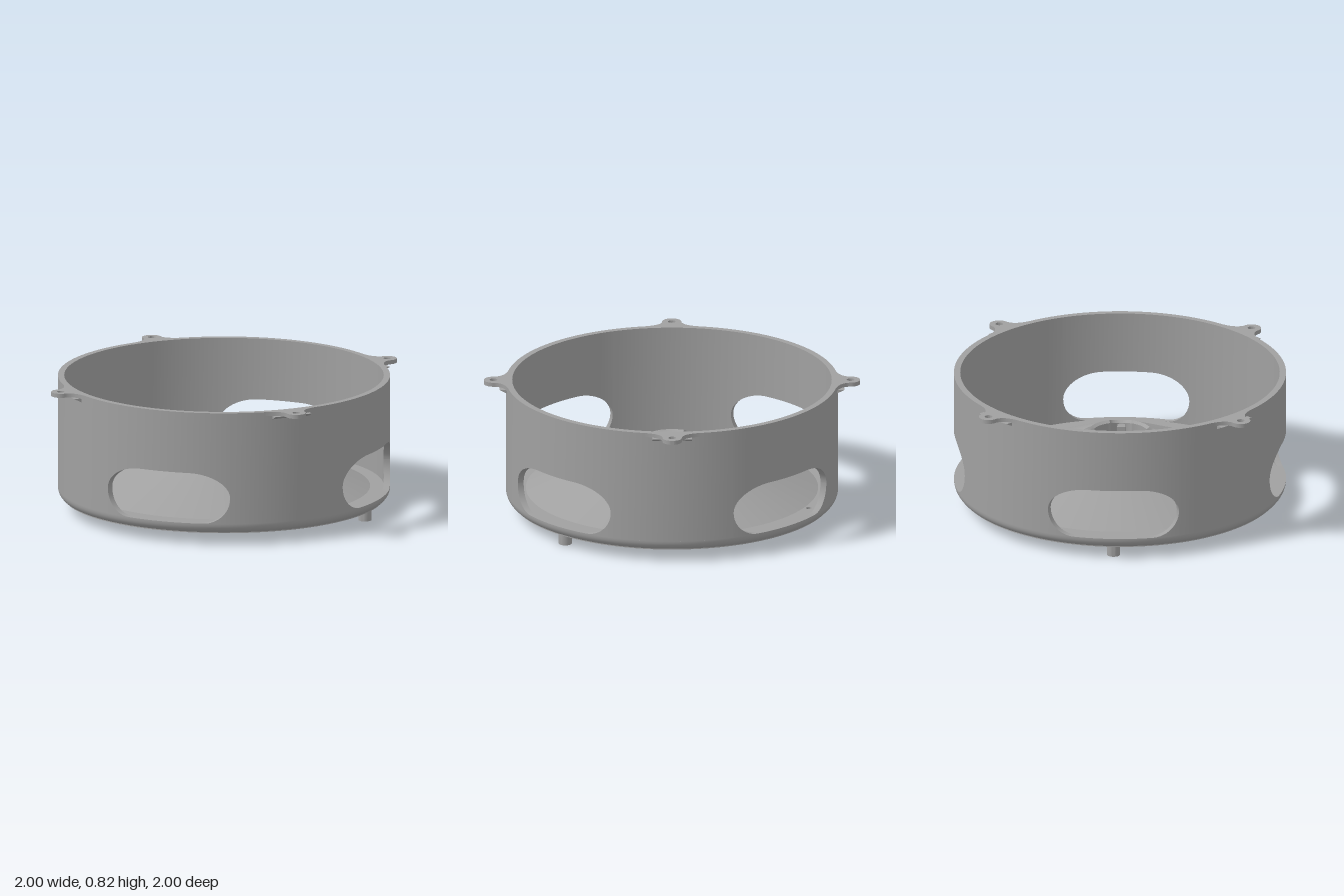
import * as THREE from 'three';
import { toCreasedNormals } from 'three/addons/utils/BufferGeometryUtils.js';

const TAU = Math.PI * 2;

export function createModel() {
  const model = new THREE.Group();
  const grey = new THREE.MeshStandardMaterial({ color: 0xa0a0a0 });
  grey.name = 'grey plastic';

  function add(name, geometry, parent = model) {
    const mesh = new THREE.Mesh(toCreasedNormals(geometry, 0.5), grey);
    mesh.name = name;
    parent.add(mesh);
    return mesh;
  }

  // Sweeps a profile of [radius, y] points, which may change with the angle, around y
  function sweep(angles, profileAt) {
    const pos = [];
    const at = (t, [r, y]) => [r * Math.sin(t), y, r * Math.cos(t)];
    for (let i = 0; i < angles.length - 1; i++) {
      const t0 = angles[i], t1 = angles[i + 1];
      const p0 = profileAt(t0), p1 = profileAt(t1);
      for (let j = 0; j < p0.length - 1; j++) {
        const a = at(t0, p0[j]), b = at(t1, p1[j]), c = at(t1, p1[j + 1]), d = at(t0, p0[j + 1]);
        pos.push(...a, ...b, ...c, ...a, ...c, ...d);
      }
    }
    const g = new THREE.BufferGeometry();
    g.setAttribute('position', new THREE.Float32BufferAttribute(pos, 3));
    return g;
  }
  const range = (a, b, n) => Array.from({ length: n + 1 }, (_, i) => a + (b - a) * i / n);
  const circle = (x, y, r) => new THREE.Path().absarc(x, y, r, 0, TAU, true);

  // Flat plate lying in xz, from a shape with its y pointing to -z
  function plate(shape, y, depth, curveSegments = 24) {
    const g = new THREE.ExtrudeGeometry(shape, { depth, bevelEnabled: false, curveSegments });
    return g.rotateX(-Math.PI / 2).translate(0, y, 0);
  }

  // Wall with four oval windows
  const RI = 0.962, TOP = 0.82, BASE = 0.135, HALF = 0.395;
  const low = (x) => 0.29 - Math.sqrt(Math.max(0, 0.155 ** 2 - Math.max(0, x - 0.24) ** 2));
  const high = (x) => 0.29 + 0.155 * Math.sqrt(Math.max(0, 1 - (Math.max(0, x - 0.15) / 0.245) ** 2));
  const edge = Math.asin(HALF);
  const windowAngles = range(-1, 1, 48).map((s) => Math.asin(HALF * Math.sin(s * Math.PI / 2)));
  const offset = (t) => Math.min(HALF, Math.abs(Math.sin(t)));
  for (let k = 0; k < 4; k++) {
    const quarter = new THREE.Group();
    quarter.name = 'wallQuarter';
    quarter.rotation.y = k * Math.PI / 2;
    model.add(quarter);
    add('wallBelowWindow', sweep(windowAngles, (t) => {
      const y = low(offset(t));
      return [[1, BASE], [1, y], [RI, y], [RI, BASE]];
    }), quarter);
    add('wallAboveWindow', sweep(windowAngles, (t) => {
      const y = high(offset(t));
      return [[RI, y], [1, y], [1, TOP], [RI, TOP], [RI, y]];
    }), quarter);
    add('wallPanel', sweep(range(edge, Math.PI / 2 - edge, 20),
      () => [[1, BASE], [1, TOP], [RI, TOP], [RI, BASE]]), quarter);
  }

  // Rounded lower edge
  const round = range(0, Math.PI / 2, 8).map((a) => [0.94 + 0.06 * Math.sin(a), 0.13 - 0.06 * Math.cos(a)]);
  add('roundedBottomEdge', sweep(range(0, TAU, 128), () => [...round, [1, BASE], [0.94, BASE]]));

  // Flat floor rim with two small holes at the back
  const rim = new THREE.Shape().absarc(0, 0, 0.965, 0, TAU, false);
  rim.holes.push(circle(0, 0, 0.88), circle(0.31, 0.855, 0.017), circle(-0.31, 0.855, 0.017));
  add('floorRim', plate(rim, 0.07, BASE - 0.07, 64));

  // Cone floor and the four-lobed pocket wall in its middle
  const pocket = (t) => {
    const q = Math.PI / 2;
    const a = t - Math.round(t / q) * q;
    const s = 0.168 * Math.sin(a), d = 0.065 ** 2 - s * s;
    return Math.max(0.17, d > 0 ? 0.168 * Math.cos(a) + Math.sqrt(d) : 0);
  };
  const coneTop = (r) => BASE + 0.442 * (0.88 - r);
  const coneUnder = (r) => 0.07 + 0.47 * (0.88 - r);
  add('coneFloor', sweep(range(0, TAU, 256), (t) => {
    const p = pocket(t);
    return [[0.88, BASE], [p + 0.02, coneTop(p + 0.02)], [p, coneTop(p + 0.02) - 0.012], [p, 0.1],
      [p + 0.025, 0.1], [p + 0.025, coneUnder(p + 0.025)], [0.88, 0.07]];
  }));

  // Hub plate with four screw holes
  const hub = new THREE.Shape().absarc(0, 0, 0.24, 0, TAU, false);
  const collar = [[0.035, 0.1], [0.035, 0.125], [0.02, 0.125], [0.02, 0.1]];
  for (let k = 0; k < 4; k++) {
    const x = 0.168 * Math.cos(k * Math.PI / 2), z = 0.168 * Math.sin(k * Math.PI / 2);
    hub.holes.push(circle(x, z, 0.02));
    add('screwCollar', sweep(range(0, TAU, 24), () => collar)).position.set(x, 0, z);
  }
  add('hubPlate', plate(hub, 0.07, 0.04, 32));

  // Underside ribs with three slots each
  const web = new THREE.Shape([[0.18, 0.07], [0.9, 0.07], [0.9, 0.085], [0.24, 0.395], [0.18, 0.395]]
    .map(([x, y]) => new THREE.Vector2(x, y)));
  for (const x of [0.3, 0.43, 0.56]) {
    const slot = new THREE.Path();
    slot.absarc(x + 0.022, 0.125, 0.013, Math.PI / 2, -Math.PI / 2, true);
    slot.absarc(x - 0.022, 0.125, 0.013, -Math.PI / 2, -Math.PI * 1.5, true);
    slot.closePath();
    web.holes.push(slot);
  }
  for (let k = 0; k < 4; k++) {
    const g = new THREE.ExtrudeGeometry(web, { depth: 0.05, bevelEnabled: false, curveSegments: 8 });
    add('rib', g.translate(0, 0, -0.025)).rotation.y = k * Math.PI / 2;
  }

  // Hollow feet: straight at the sides, flared in the middle and at the back
  const straight = [[0.016, 0], [0.04, 0], [0.04, 0.075], [0.016, 0.075], [0.016, 0]];
  const flared = [[0.016, 0], [0.033, 0], [0.033, 0.03], [0.037, 0.048], [0.046, 0.06], [0.062, 0.07],
    [0.016, 0.072], [0.016, 0]];
  for (const [x, z, profile] of [[0.91, 0, straight], [-0.91, 0, straight], [0, 0, flared], [0, -0.51, flared]]) {
    add('foot', sweep(range(0, TAU, 32), () => profile)).position.set(x, 0, z);
  }

  // Four mounting lugs on the top edge, each with a wedge below
  const lug = new THREE.Shape();
  const U = 1.075, R = 0.058;
  lug.moveTo(0.968, -0.17);
  lug.lineTo(0.985, -0.17);
  lug.quadraticCurveTo(1.005, -0.07, U - 0.01, -R);
  lug.absarc(U, 0, R, -Math.PI / 2, Math.PI / 2, false);
  lug.lineTo(U - 0.01, R);
  lug.quadraticCurveTo(1.005, 0.07, 0.985, 0.17);
  lug.lineTo(0.968, 0.17);
  lug.holes.push(circle(U, 0, 0.023));
  const wedge = new THREE.Shape([[0.975, 0.772], [0.992, 0.772], [1.04, 0.796], [0.975, 0.796]]
    .map(([x, y]) => new THREE.Vector2(x, y)));
  for (let k = 0; k < 4; k++) {
    const corner = new THREE.Group();
    corner.name = 'mountingLug';
    corner.rotation.y = Math.PI / 4 + k * Math.PI / 2;
    model.add(corner);
    add('lugPlate', plate(lug, TOP - 0.025, 0.025, 20), corner);
    add('lugWedge', new THREE.ExtrudeGeometry(wedge, { depth: 0.24, bevelEnabled: false })
      .translate(0, 0, -0.12), corner);
  }
  return model;
}
